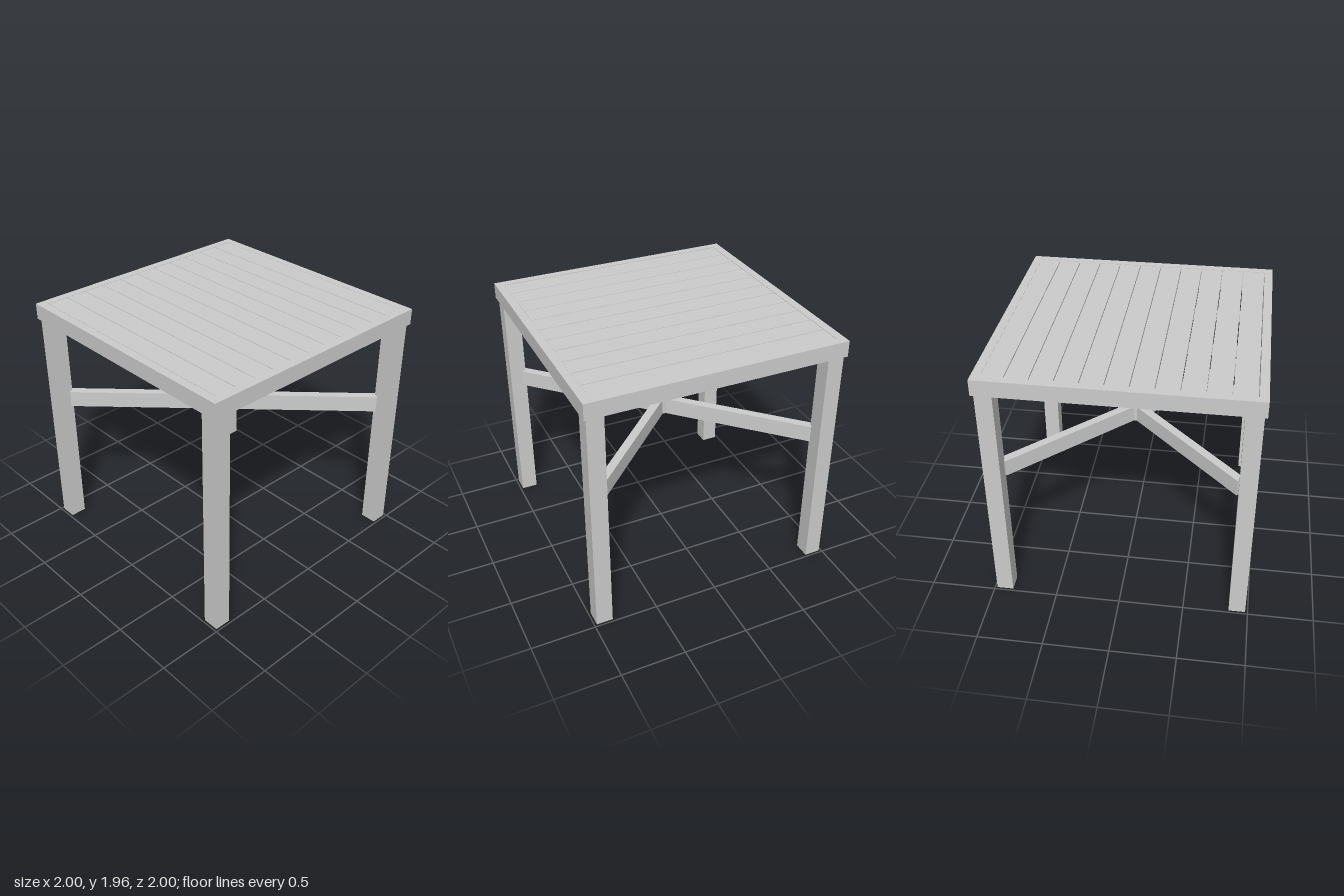
import * as THREE from 'three';

export function createModel() {
  const model = new THREE.Group();
  const grey = new THREE.MeshStandardMaterial({ color: 0xcccccc });
  grey.name = 'light grey';

  const add = (name, geometry, x, y, z) => {
    const mesh = new THREE.Mesh(geometry, grey);
    mesh.name = name;
    mesh.position.set(x, y, z);
    model.add(mesh);
    return mesh;
  };
  const box = (name, w, h, d, x, y, z) => add(name, new THREE.BoxGeometry(w, h, d), x, y, z);

  // square ring extruded upwards from its base
  const squareTube = (name, outer, inner, height, x, y, z) => {
    const square = (path, r) => path.moveTo(-r, -r).lineTo(r, -r).lineTo(r, r).lineTo(-r, r).closePath();
    const shape = square(new THREE.Shape(), outer);
    shape.holes.push(square(new THREE.Path(), inner));
    const geometry = new THREE.ExtrudeGeometry(shape, { depth: height, bevelEnabled: false });
    geometry.rotateX(-Math.PI / 2);
    return add(name, geometry, x, y, z);
  };

  // table top frame
  squareTube('topFrame', 1, 0.935, 0.125, 0, 1.83, 0);

  // eleven slats running across the top
  for (let i = 0; i < 11; i++) {
    box('slat', 1.866, 0.03, 0.165, 0, 1.938, -0.858 + i * 0.1705);
  }

  // battens under the slats
  for (const x of [-0.8, -0.265, 0.265, 0.8]) {
    box('batten', 0.05, 0.065, 1.868, x, 1.892, 0);
  }

  // hub under the top, with the bar that carries it
  box('hubBar', 0.53, 0.05, 0.05, 0, 1.898, 0);
  add('topHub', new THREE.CylinderGeometry(0.062, 0.062, 0.15, 32), 0, 1.85, 0);

  // hollow legs and the diagonal braces that reach them
  for (const sx of [-1, 1]) {
    for (const sz of [-1, 1]) {
      squareTube('leg', 0.064, 0.056, 1.83, sx * 0.917, 0, sz * 0.917);
      const brace = box('brace', 1.19, 0.13, 0.065, sx * 0.441, 1.137, sz * 0.441);
      brace.rotation.y = -Math.atan2(sz, sx);
    }
  }

  // post where the braces meet
  add('bracePost', new THREE.CylinderGeometry(0.06, 0.06, 0.13, 32), 0, 1.137, 0);

  return model;
}
